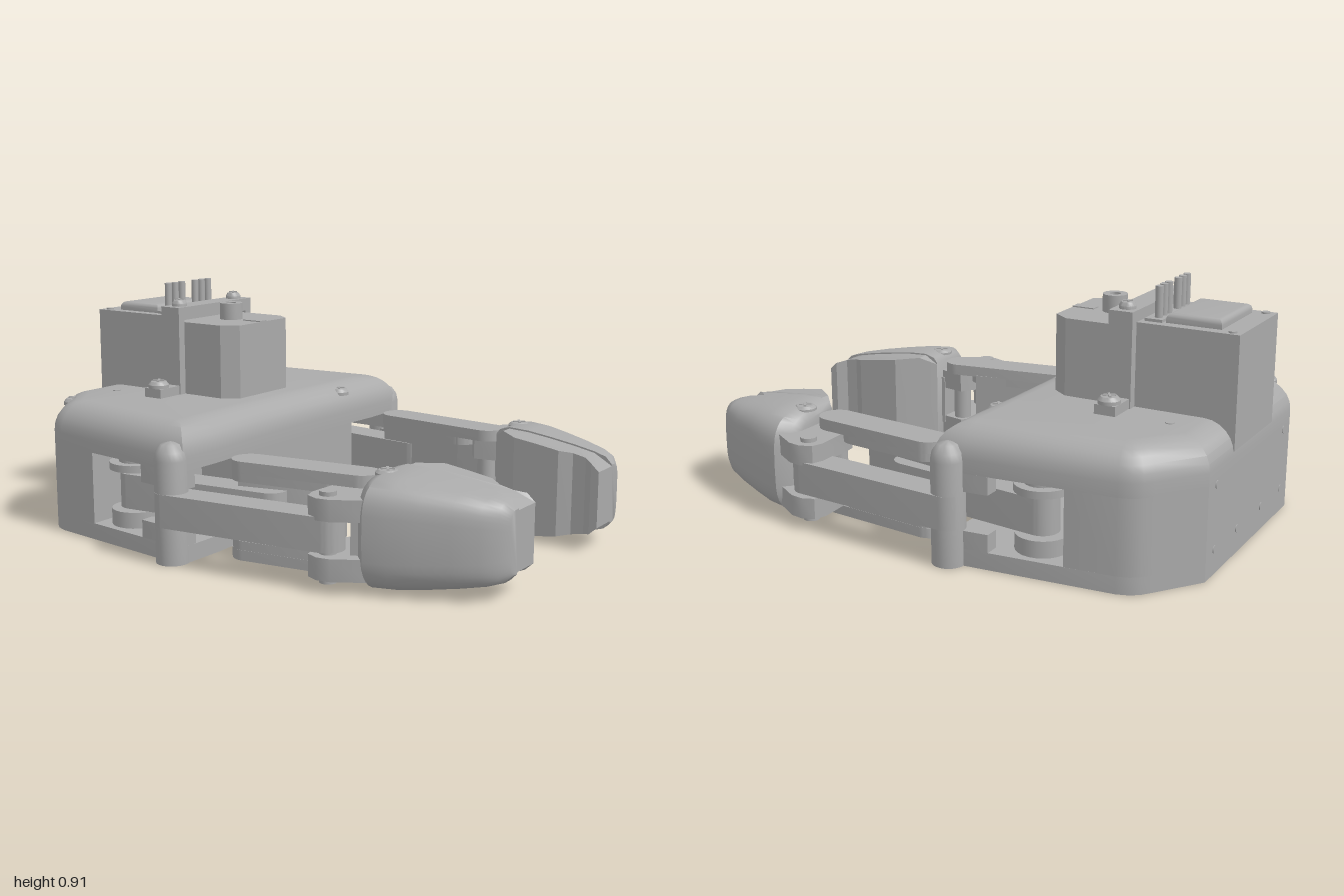
import * as THREE from 'three';
import { toCreasedNormals } from 'three/addons/utils/BufferGeometryUtils.js';

const grey = new THREE.MeshStandardMaterial({ color: 0xaaaaaa });
grey.name = 'plain grey';

function add(parent, name, geometry, x = 0, y = 0, z = 0) {
  const mesh = new THREE.Mesh(geometry, grey);
  mesh.name = name;
  mesh.position.set(x, y, z);
  parent.add(mesh);
  return mesh;
}

// Upright prism from a plan outline in x and z; round softens the top edge only
function prism(shape, y0, y1, round = 0) {
  const s = Array.isArray(shape) ? new THREE.Shape(shape.map(p => new THREE.Vector2(p[0], p[1]))) : shape;
  const g = new THREE.ExtrudeGeometry(s, {
    depth: y1 - y0 - round, curveSegments: 12, bevelEnabled: round > 0,
    bevelSize: round, bevelThickness: round, bevelOffset: -round, bevelSegments: 6,
  });
  g.rotateX(Math.PI / 2).translate(0, y1 - round, 0);
  const p = g.attributes.position;
  for (let i = 0; i < p.count; i++) p.setY(i, Math.max(y0, p.getY(i)));
  return toCreasedNormals(g, 0.6);
}

// Bar with round ends between two plan points
function bar(a, b, r, y0, y1) {
  const t = Math.atan2(b[1] - a[1], b[0] - a[0]), q = Math.PI / 2;
  const s = new THREE.Shape();
  s.absarc(b[0], b[1], r, t - q, t + q, false);
  s.absarc(a[0], a[1], r, t + q, t + 3 * q, false);
  s.closePath();
  return prism(s, y0, y1);
}

const box = (parent, name, x0, x1, y0, y1, z0, z1) => add(parent, name,
  new THREE.BoxGeometry(x1 - x0, y1 - y0, z1 - z0), (x0 + x1) / 2, (y0 + y1) / 2, (z0 + z1) / 2);

const disc = (parent, name, r, y0, y1, x, z) => add(parent, name,
  new THREE.CylinderGeometry(r, r, y1 - y0, 24), x, (y0 + y1) / 2, z);

// Domed screw head with a thin cross
function screw(parent, x, y0, z, r = 0.04, h = 0.028) {
  const pts = [[0, 0], [r, 0], [r, h * 0.45], [r * 0.75, h * 0.9], [0, h]].map(p => new THREE.Vector2(...p));
  add(parent, 'screwHead', toCreasedNormals(new THREE.LatheGeometry(pts, 20), 0.6), x, y0, z);
  for (const turn of [0.6, 2.17]) {
    add(parent, 'screwCross', new THREE.BoxGeometry(r * 1.1, 0.006, r * 0.22), x, y0 + h, z).rotation.y = turn;
  }
}

// Joins cross-sections with the same number of points and caps both ends
function loft(rings) {
  const n = rings[0].length, pos = rings.flat(2), idx = [];
  for (let i = 0; i < rings.length - 1; i++) for (let j = 0; j < n; j++) {
    const a = i * n + j, b = i * n + (j + 1) % n;
    idx.push(a, a + n, b, b, a + n, b + n);
  }
  const last = (rings.length - 1) * n;
  for (let j = 1; j < n - 1; j++) idx.push(0, j, j + 1, last, last + j + 1, last + j);
  const g = new THREE.BufferGeometry();
  g.setAttribute('position', new THREE.Float32BufferAttribute(pos, 3));
  g.setIndex(idx);
  return toCreasedNormals(g, 0.7);
}

// Fingertip stations: x, depth outward from the pad line, half height
const tip = [[0.525, 0.2, 0.165], [0.54, 0.24, 0.185], [0.58, 0.28, 0.198], [0.66, 0.26, 0.194],
  [0.75, 0.222, 0.182], [0.85, 0.177, 0.166], [0.93, 0.135, 0.15], [0.975, 0.095, 0.136], [1, 0.055, 0.11]];
const tipY = 0.205;

function halfHeight(x) {
  for (let i = 1; i < tip.length; i++) if (x <= tip[i][0]) {
    const [a, , ha] = tip[i - 1], [b, , hb] = tip[i];
    return ha + (hb - ha) * Math.max(0, (x - a) / (b - a));
  }
  return tip[tip.length - 1][2];
}

function makeBody() {
  const g = new THREE.Group();
  g.name = 'body';
  const half = [[-0.998, 0.4], [-0.88, 0.56], [-0.855, 0.592], [-0.825, 0.615], [-0.78, 0.63], [-0.24, 0.685],
    [-0.125, 0.68], [-0.122, 0.5], [-0.135, 0.25]];
  const outline = [...half, [-0.14, 0], ...half.map(([x, z]) => [x, -z]).reverse()];
  add(g, 'bottomPlate', prism(outline, 0.008, 0.07));
  add(g, 'topCover', prism(outline, 0.34, 0.5, 0.11));
  // Rear block behind the through window
  const rear = [...half.slice(0, 5), [-0.6, 0.648]];
  add(g, 'rearBlock', prism([...rear, ...rear.map(([x, z]) => [x, -z]).reverse()], 0.07, 0.34));
  box(g, 'palmWall', -0.3, -0.14, 0.07, 0.34, -0.38, 0.38);
  for (const s of [1, -1]) {
    // Side wall strips above and below the link slot
    for (const [y0, y1] of [[0.07, 0.135], [0.275, 0.34]]) {
      add(g, 'sideWall', prism([[-0.33, 0.62 * s], [-0.33, 0.676 * s], [-0.24, 0.685 * s],
        [-0.125, 0.68 * s], [-0.125, 0.62 * s]], y0, y1));
    }
    const horn = [[0, 0.008], [0.06, 0.008], [0.06, 0.38], [0.054, 0.41], [0.035, 0.435], [0, 0.445]];
    add(g, 'cornerHorn', toCreasedNormals(new THREE.LatheGeometry(horn.map(p => new THREE.Vector2(...p)), 24), 0.7),
      -0.18, 0, 0.682 * s);
    disc(g, 'topHole', 0.016, 0.498, 0.503, -0.81, 0.295 * s);
    for (const [y, z] of [[0.1, 0.33], [0.33, 0.33], [0.1, 0.12]]) {
      disc(g, 'backHole', 0.014, y - 0.002, y + 0.002, -0.999, z * s).rotation.z = Math.PI / 2;
    }
  }
  screw(g, -0.18, 0.455, -0.345);
  screw(g, -0.88, 0.462, 0.46);
  return g;
}

function makeMotor() {
  const g = new THREE.Group();
  g.name = 'motor';
  box(g, 'motorCase', -1, -0.62, 0.4, 0.8, -0.187, 0.187);
  add(g, 'gearCase', prism([[-0.63, 0.19], [-0.36, 0.19], [-0.3, 0.145], [-0.3, -0.145], [-0.36, -0.19],
    [-0.63, -0.19]], 0.45, 0.782));
  add(g, 'lidPlate', prism([[-0.92, 0.145], [-0.72, 0.145], [-0.72, -0.145], [-0.92, -0.145]], 0.8, 0.834, 0.02));
  box(g, 'connectorBase', -0.71, -0.645, 0.8, 0.81, -0.155, 0.155);
  // Shaft with bore ring and key
  const ring = new THREE.Shape().absarc(0, 0, 0.045, 0, Math.PI * 2, false);
  ring.holes.push(new THREE.Path().absarc(0, 0, 0.02, 0, Math.PI * 2, true));
  add(g, 'shaftBoss', prism(ring, 0.78, 0.846), -0.46, 0, 0);
  box(g, 'shaftKey', -0.385, -0.3, 0.78, 0.786, -0.02, 0.02);
  for (const s of [1, -1]) {
    for (const z of [0.04, 0.08, 0.12]) disc(g, 'pin', 0.014, 0.8, 0.92, -0.682, z * s);
    disc(g, 'caseScrew', 0.015, 0.8, 0.806, -0.965, 0.16 * s);
    // Clamp leg and foot
    box(g, 'clampLeg', -0.63, -0.54, 0.5, 0.84, 0.205 * s - 0.016, 0.205 * s + 0.016);
    box(g, 'clampFoot', -0.625, -0.545, 0.495, 0.535, 0.265 * s - 0.065, 0.265 * s + 0.065);
    screw(g, -0.585, 0.535, 0.295 * s);
    screw(g, -0.585, 0.838, 0.165 * s, 0.03);
  }
  box(g, 'clampTop', -0.63, -0.54, 0.79, 0.84, -0.22, 0.22);
  return g;
}

// s: side of the palm; the other values are plan distances from the middle
function makeFinger(s, name, { padLine, innerEnd, innerStart, outerEnd }) {
  const g = new THREE.Group();
  g.name = name;
  const P = (x, z) => [x, z * s];
  // Drive gear stack seen through the side window
  const pivot = 0.55;
  for (const [r, y0, y1] of [[0.04, 0.05, 0.35], [0.1, 0.285, 0.312], [0.065, 0.312, 0.34], [0.095, 0.075, 0.135]]) {
    disc(g, 'driveGear', r, y0, y1, -0.47, pivot * s);
  }
  add(g, 'driveArm', bar(P(-0.47, pivot), P(0.1, innerStart - 0.01), 0.06, 0.14, 0.27));
  // Inner link: cover plates with a web recessed on the outside
  const a = [0.015, innerStart], b = [0.445, innerEnd];
  for (const [y0, y1] of [[0.3, 0.372], [0.015, 0.085]]) {
    add(g, 'innerLinkPlate', bar(P(...a), P(0.33, innerEnd + (innerStart - innerEnd) * 0.27), 0.065, y0, y1));
  }
  for (const [y0, y1] of [[0.33, 0.373], [0.014, 0.052]]) {
    add(g, 'innerLinkCover', bar(P(...a), P(...b), 0.066, y0, y1));
  }
  add(g, 'innerLinkWeb', prism([P(a[0] - 0.04, a[1] - 0.05), P(b[0] - 0.1, b[1] - 0.055),
    P(b[0] - 0.16, b[1] + 0.01), P(a[0] - 0.04, a[1] + 0.02)], 0.05, 0.335));
  add(g, 'outerLink', bar(P(-0.18, 0.685), P(0.435, outerEnd), 0.058, 0.145, 0.265));
  // Coupler fork joining both links to the fingertip
  for (const [y0, y1] of [[0.052, 0.13], [0.255, 0.33]]) {
    add(g, 'couplerPlate', prism([P(0.37, outerEnd), P(0.385, outerEnd + 0.045), P(0.43, outerEnd + 0.063),
      P(0.48, outerEnd + 0.055), P(0.6, padLine + 0.24), P(0.6, innerEnd), P(0.5, innerEnd - 0.04),
      P(0.42, innerEnd - 0.055), P(0.38, innerEnd)], y0, y1));
  }
  disc(g, 'outerPin', 0.03, 0.03, 0.345, 0.435, outerEnd * s);
  disc(g, 'innerPin', 0.035, 0.04, 0.34, 0.445, innerEnd * s);
  add(g, 'couplerCore', prism([P(0.51, innerEnd - 0.04), P(0.6, innerEnd - 0.04), P(0.6, padLine + 0.2),
    P(0.51, padLine + 0.24)], 0.1, 0.3));
  // Rounded shell of the fingertip
  const rings = tip.map(([x, w, h]) => {
    const ring = [];
    for (let i = 0; i <= 20; i++) {
      const t = -Math.PI / 2 + Math.PI * i / 20;
      const c = Math.max(0, Math.cos(t)), n = Math.sin(t);
      ring.push([x, tipY + h * Math.sign(n) * Math.sqrt(Math.abs(n)), s * (padLine + w * Math.sqrt(c))]);
    }
    return s > 0 ? ring : ring.reverse();
  });
  add(g, 'fingertipShell', loft(rings));
  // Grip pad with a notch, its height following the shell
  const pad = [[0.525, 0], [0.58, -0.05], [0.66, -0.115], [0.75, -0.115], [0.84, -0.115], [0.885, -0.085],
    [0.935, -0.085], [0.97, -0.115], [1, -0.115], [1, 0], [0.93, 0], [0.85, 0], [0.75, 0], [0.66, 0], [0.58, 0]];
  const padGeo = prism(pad.map(([x, z]) => P(x, padLine + z)), -1, 1);
  const p = padGeo.attributes.position;
  for (let i = 0; i < p.count; i++) p.setY(i, tipY + p.getY(i) * (halfHeight(p.getX(i)) - 0.006));
  add(g, 'gripPad', toCreasedNormals(padGeo, 0.5));
  screw(g, 0.567, 0.385, (padLine + 0.105) * s, 0.042, 0.02);
  return g;
}

export function createModel() {
  const model = new THREE.Group();
  model.name = 'roboticGripper';
  model.add(makeBody(), makeMotor());
  model.add(makeFinger(1, 'leftFinger', { padLine: 0.34, innerEnd: 0.415, innerStart: 0.483, outerEnd: 0.6 }));
  model.add(makeFinger(-1, 'rightFinger', { padLine: 0.39, innerEnd: 0.462, innerStart: 0.5, outerEnd: 0.647 }));
  return model;
}
